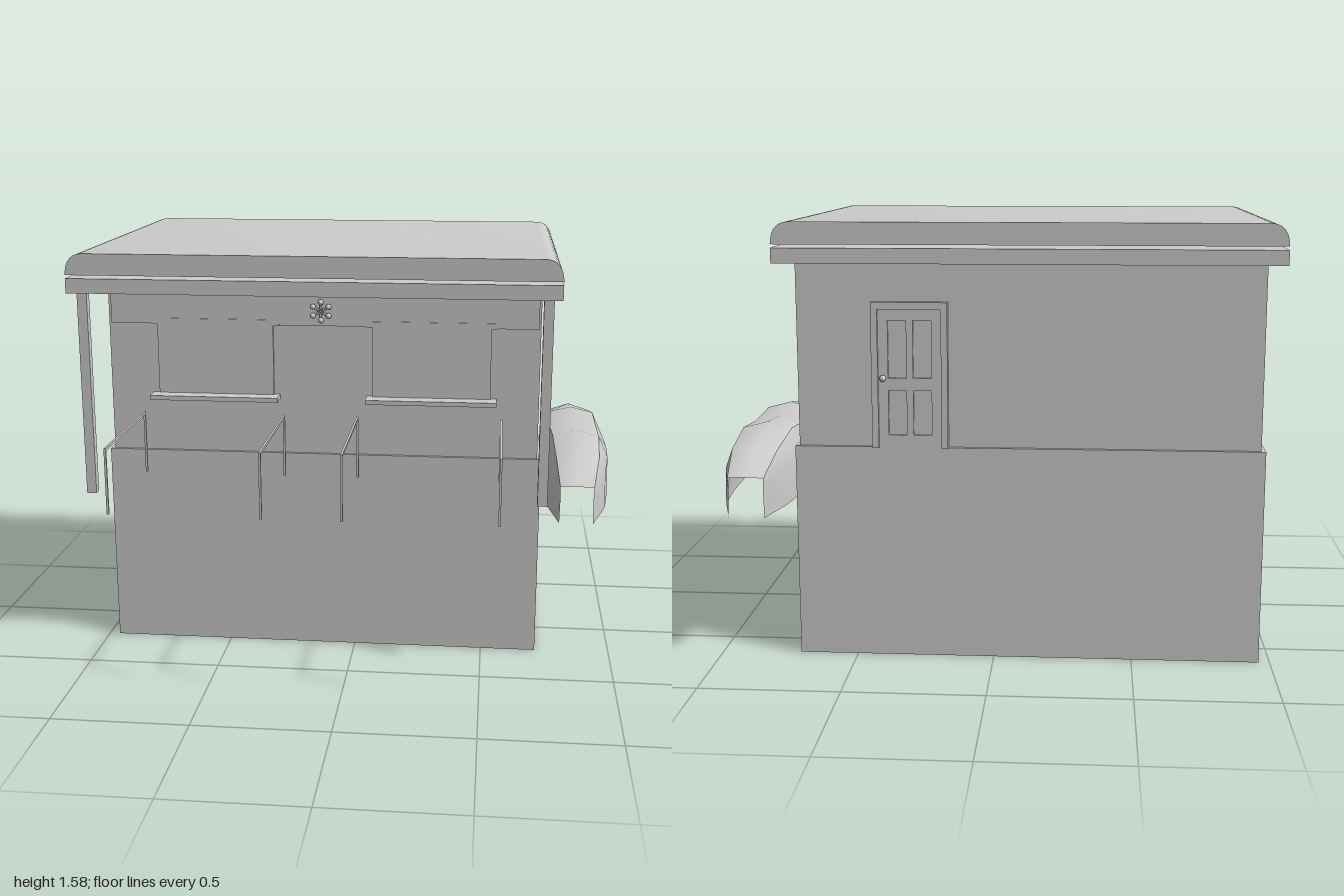
import * as THREE from 'three';
import { toCreasedNormals } from 'three/addons/utils/BufferGeometryUtils.js';

export function createModel() {
  const model = new THREE.Group();
  const grey = new THREE.MeshStandardMaterial({ color: 0xcccccc });
  grey.name = 'plainGrey';
  grey.side = THREE.DoubleSide;

  const add = (name, geometry, parent = model) => {
    const mesh = new THREE.Mesh(geometry, grey);
    mesh.name = name;
    parent.add(mesh);
    return mesh;
  };
  // Box given by its extents on each axis
  const box = (name, x0, x1, y0, y1, z0, z1, parent) => {
    const mesh = add(name, new THREE.BoxGeometry(x1 - x0, y1 - y0, z1 - z0), parent);
    mesh.position.set((x0 + x1) / 2, (y0 + y1) / 2, (z0 + z1) / 2);
    return mesh;
  };
  const group = (name) => {
    const g = new THREE.Group();
    g.name = name;
    model.add(g);
    return g;
  };

  // Building body
  box('base', -0.96, 0.712, 0, 0.78, -0.638, 0.232);
  box('upperWalls', -0.945, 0.698, 0.78, 1.44, -0.625, 0.22);
  box('signBoard', -0.933, 0.69, 1.28, 1.4, 0.22, 0.233);

  // Roof slab and rounded cap with a narrow gap between them
  box('roofSlab', -1, 0.758, 1.44, 1.493, -0.732, 0.56);
  const cap = new THREE.Shape();
  cap.moveTo(-1, 1.505);
  cap.lineTo(0.758, 1.505);
  cap.quadraticCurveTo(0.755, 1.58, 0.695, 1.582);
  cap.lineTo(-0.937, 1.582);
  cap.quadraticCurveTo(-0.997, 1.58, -1, 1.505);
  const capGeometry = new THREE.ExtrudeGeometry(cap, { depth: 1.292, bevelEnabled: false, curveSegments: 10 });
  add('roofCap', toCreasedNormals(capGeometry, 0.6)).position.z = -0.732;

  // Porch posts
  for (const x of [-0.955, 0.712]) box('porchPost', x - 0.018, x + 0.018, 0.685, 1.44, 0.488, 0.52);

  // Serving windows
  for (const x of [-0.533, 0.292]) {
    const w = group('window');
    box('pane', x - 0.223, x + 0.223, 1.01, 1.28, 0.22, 0.231, w);
    box('lintel', x - 0.246, x + 0.246, 1.278, 1.3, 0.22, 0.236, w);
    box('sill', x - 0.246, x + 0.246, 0.993, 1.01, 0.22, 0.292, w);
  }

  // Queue rails
  for (const x of [-0.803, -0.263, 0.018, 0.558]) {
    const r = group('queueRail');
    box('bar', x - 0.004, x + 0.004, 0.937, 0.946, 0.287, 0.834, r);
    for (const z of [0.291, 0.83]) box('leg', x - 0.004, x + 0.004, 0.708, 0.94, z - 0.004, z + 0.004, r);
  }

  // Flower ornament on the sign board
  const flower = group('flowerOrnament');
  flower.position.set(-0.125, 1.338, 0.25);
  for (let i = 0; i < 6; i++) {
    const a = (i * Math.PI) / 3 + Math.PI / 2;
    const petal = add('petal', new THREE.SphereGeometry(0.011, 10, 8), flower);
    petal.position.set(Math.cos(a) * 0.034, Math.sin(a) * 0.034, 0);
    const stem = add('petalStem', new THREE.CylinderGeometry(0.004, 0.004, 0.022, 6), flower);
    stem.position.set(Math.cos(a) * 0.02, Math.sin(a) * 0.02, 0);
    stem.rotation.z = a - Math.PI / 2;
  }
  add('flowerCentre', new THREE.TorusGeometry(0.01, 0.003, 6, 12), flower);
  const pin = add('flowerPin', new THREE.CylinderGeometry(0.004, 0.004, 0.018, 8), flower);
  pin.rotation.x = Math.PI / 2;
  pin.position.z = -0.009;

  // Back door: frame, leaf, raised stiles and rails, knob
  const door = group('backDoor');
  box('leaf', 0.18, 0.41, 0.78, 1.28, -0.632, -0.62, door);
  for (const x of [0.16, 0.407]) box('frameSide', x, x + 0.023, 0.78, 1.3, -0.655, -0.62, door);
  box('frameTop', 0.16, 0.43, 1.275, 1.3, -0.655, -0.62, door);
  for (const [x0, x1] of [[0.183, 0.218], [0.283, 0.307], [0.372, 0.407]])
    box('stile', x0, x1, 0.78, 1.275, -0.642, -0.63, door);
  for (const [y0, y1] of [[0.78, 0.825], [0.985, 1.03], [1.235, 1.275]])
    box('rail', 0.183, 0.407, y0, y1, -0.642, -0.63, door);
  add('knob', new THREE.SphereGeometry(0.012, 12, 8), door).position.set(0.39, 1.03, -0.652);

  // Arched side canopy: z, half width, crown height, shoulder height
  const stations = [
    [0.34, 0.063, 0.71, 0.706], [0.13, 0.112, 0.795, 0.768], [-0.05, 0.133, 0.828, 0.805],
    [-0.25, 0.143, 0.812, 0.79], [-0.45, 0.133, 0.828, 0.805], [-0.65, 0.112, 0.795, 0.768],
    [-0.835, 0.063, 0.71, 0.706],
  ];
  const foot = 0.565, positions = [], indices = [], cols = 7;
  for (const [z, w, crown, shoulder] of stations) {
    const knee = foot + (shoulder - foot) * 0.65;
    const s = 0.063 + (w - 0.063) * 0.4;
    const section = [[w, foot], [w * 0.97, knee], [s, shoulder], [0, crown], [-s, shoulder], [-w * 0.97, knee], [-w, foot]];
    for (const [x, y] of section) positions.push(0.857 - 0.01 * (w < 0.1) + x, y, z);
  }
  for (let i = 0; i < stations.length - 1; i++) {
    for (let j = 0; j < cols - 1; j++) {
      const a = i * cols + j, b = a + cols;
      indices.push(a, b, a + 1, b, b + 1, a + 1);
    }
  }
  const canopy = new THREE.BufferGeometry();
  canopy.setAttribute('position', new THREE.Float32BufferAttribute(positions, 3));
  canopy.setIndex(indices);
  add('sideCanopy', toCreasedNormals(canopy, 0.65));

  return model;
}
